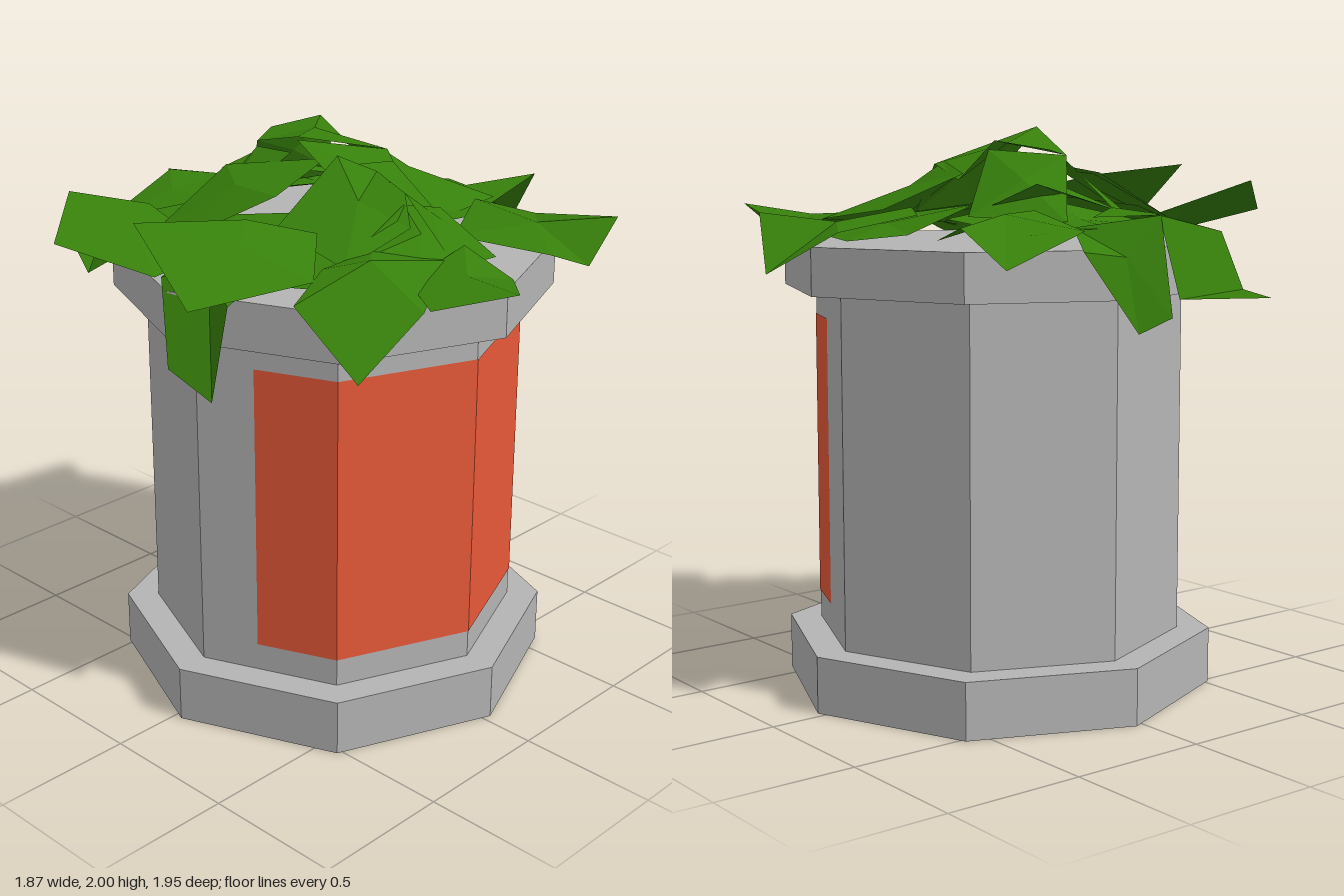
import * as THREE from 'three';

const stone = new THREE.MeshStandardMaterial({ color: 0xb4b4b4 });
stone.name = 'stone';
const paint = new THREE.MeshStandardMaterial({ color: 0xe65838 });
paint.name = 'redPaint';
const foliage = new THREE.MeshStandardMaterial({ color: 0x37800b, side: THREE.DoubleSide });
foliage.name = 'leafGreen';

const CENTRE = 0.03; // the planter axis in x and z

function meshFrom(positions, material, name) {
  const g = new THREE.BufferGeometry();
  g.setAttribute('position', new THREE.Float32BufferAttribute(positions, 3));
  g.computeVertexNormals();
  const mesh = new THREE.Mesh(g, material);
  mesh.name = name;
  return mesh;
}

// Octagonal drum between two heights
function drum(name, radius, y0, y1) {
  const geometry = new THREE.CylinderGeometry(radius, radius, y1 - y0, 8).toNonIndexed();
  geometry.computeVertexNormals();
  const mesh = new THREE.Mesh(geometry, stone);
  mesh.position.set(CENTRE, (y0 + y1) / 2, CENTRE);
  mesh.name = name;
  return mesh;
}

// Thin painted band wrapped round the front facets
function frontPanel() {
  const path = [[-0.55, 0.225], [-0.437, 0.497], [0.03, 0.69], [0.497, 0.497], [0.582, 0.288]]
    .map(([x, z]) => [CENTRE + (x - CENTRE) * 1.004, CENTRE + (z - CENTRE) * 1.004]);
  const y0 = 0.3, y1 = 1.33, p = [];
  for (let i = 0; i < path.length - 1; i++) {
    const [ax, az] = path[i], [bx, bz] = path[i + 1];
    p.push(ax, y0, az, bx, y0, bz, bx, y1, bz, ax, y0, az, bx, y1, bz, ax, y1, az);
  }
  return meshFrom(p, paint, 'frontPanel');
}

// Folded leaf: facets fanned from a raised centre to the outline
function leaf(name, lift, ...outline) {
  const c = [0, 1, 2].map(k => outline.reduce((s, q) => s + q[k], 0) / outline.length);
  c[1] += lift;
  const p = [];
  outline.forEach((q, i) => p.push(...c, ...q, ...outline[(i + 1) % outline.length]));
  return meshFrom(p, foliage, name);
}

export function createModel() {
  const model = new THREE.Group();
  model.name = 'planter';

  // Planter
  model.add(
    drum('base', 0.775, 0, 0.2),
    drum('body', 0.66, 0.2, 1.435),
    drum('rim', 0.775, 1.435, 1.6),
    frontPanel()
  );

  const plant = new THREE.Group();
  plant.name = 'plant';
  model.add(plant);

  // Outer leaves, spilling over the rim
  plant.add(
    leaf('backLeafTop', 0.02, [-0.03, 1.71, -0.76], [0.1, 1.7, -0.58], [-0.19, 1.72, -0.34],
      [-0.38, 1.66, -0.54], [-0.45, 1.64, -0.62]),
    leaf('backLeafDrop', 0, [-0.45, 1.64, -0.62], [-0.03, 1.71, -0.76], [-0.05, 1.44, -0.84], [-0.51, 1.44, -0.67]),
    leaf('backLeafTip', 0, [-0.51, 1.44, -0.67], [-0.05, 1.44, -0.84], [-0.33, 1.44, -0.98]),
    leaf('backHangingLeaf', 0.04, [-0.03, 1.71, -0.77], [0.2, 1.67, -0.6], [0.28, 1.6, -0.75],
      [0.08, 1.33, -0.79], [-0.03, 1.38, -0.83]),
    leaf('backRightLeaf', 0.07, [0.2, 1.66, -0.66], [0.55, 1.55, -0.7], [0.63, 1.68, -0.57],
      [0.48, 1.62, -0.23], [0.2, 1.72, -0.4]),
    leaf('backLeftLeaf', 0.04, [-0.69, 1.81, -0.52], [-0.4, 1.72, -0.45], [-0.42, 1.66, -0.2],
      [-0.53, 1.62, -0.1], [-0.7, 1.61, -0.08], [-0.88, 1.7, -0.37]),
    leaf('leftRaisedLeaf', 0.03, [-0.88, 1.86, 0.04], [-0.52, 1.82, 0.17], [-0.33, 1.76, 0.3],
      [-0.52, 1.68, 0.47], [-0.94, 1.66, 0.35]),
    leaf('leftHangingLeaf', 0.14, [-0.5, 1.66, -0.1], [-0.74, 1.64, 0], [-0.81, 1.37, 0.1],
      [-0.76, 1.28, 0.25], [-0.73, 1.61, 0.3], [-0.4, 1.7, 0.25]),
    leaf('frontLeftLeaf', 0.12, [-0.64, 1.64, 0.5], [-0.56, 1.41, 0.7], [-0.28, 1.58, 0.72],
      [-0.02, 1.66, 0.58], [-0.2, 1.7, 0.42], [-0.45, 1.7, 0.44]),
    leaf('frontLeaf', 0.02, [-0.12, 1.66, 0.97], [-0.32, 1.61, 0.78], [-0.2, 1.63, 0.58],
      [0.1, 1.68, 0.56], [0.1, 1.61, 0.77]),
    leaf('frontRightLeaf', 0.03, [0.43, 1.59, 0.83], [0.61, 1.72, 0.81], [0.66, 1.64, 0.42],
      [0.49, 1.7, 0.28], [0.2, 1.66, 0.43], [0.36, 1.62, 0.72]),
    leaf('rightLeaf', 0.02, [0.45, 1.7, -0.08], [0.76, 1.65, -0.07], [0.93, 1.51, 0.11],
      [0.87, 1.71, 0.25], [0.6, 1.66, 0.27], [0.35, 1.72, 0.1])
  );

  // Inner leaves, stacked into the crown
  plant.add(
    leaf('crownLeaf', 0.03, [-0.16, 2, 0.04], [-0.02, 1.9, -0.3], [0.1, 1.92, -0.35],
      [0.26, 1.95, -0.26], [0.38, 1.82, -0.22], [0.3, 1.87, 0.03]),
    leaf('crownRightLeaf', 0.03, [0.36, 1.84, -0.22], [0.57, 1.72, -0.05], [0.61, 1.68, 0.27],
      [0.3, 1.66, 0.27], [0.18, 1.82, 0.08], [0.28, 1.88, 0]),
    leaf('crownLeftLeaf', 0.04, [-0.48, 1.68, -0.31], [-0.16, 1.84, -0.31], [-0.02, 1.9, 0.04],
      [-0.32, 1.84, 0.1], [-0.5, 1.7, -0.12]),
    leaf('crownFrontLeaf', 0.02, [-0.34, 1.74, 0.12], [-0.05, 1.93, 0.12], [0.06, 1.87, 0.2],
      [-0.02, 1.85, 0.4], [-0.08, 1.76, 0.48], [-0.36, 1.68, 0.45]),
    leaf('crownFrontRightLeaf', 0.02, [0.02, 1.88, 0.1], [0.25, 1.85, 0.1], [0.3, 1.68, 0.28],
      [0.17, 1.64, 0.58], [-0.08, 1.67, 0.45]),
    leaf('crownBackLeaf', 0.02, [0.05, 1.74, -0.56], [0.27, 1.81, -0.5], [0.33, 1.72, -0.28],
      [0, 1.8, -0.28], [-0.25, 1.7, -0.34])
  );

  // Steep leaves that close the sides of the crown
  plant.add(
    leaf('frontDropLeaf', 0.02, [-0.16, 1.99, 0.04], [0.3, 1.87, 0.03], [0.26, 1.7, 0.2], [0, 1.72, 0.22]),
    leaf('lowFrontLeaf', 0.03, [-0.05, 1.82, 0.42], [0.22, 1.74, 0.35], [0.22, 1.62, 0.6],
      [-0.15, 1.64, 0.6], [-0.36, 1.67, 0.42]),
    leaf('sideDropLeaf', 0.02, [0.05, 1.87, 0.2], [-0.02, 1.85, 0.4], [0.02, 1.64, 0.58],
      [0.25, 1.64, 0.48], [0.3, 1.68, 0.28]),
    leaf('backDropLeaf', 0.02, [-0.02, 1.9, -0.3], [0.3, 1.92, -0.28], [0.4, 1.7, -0.3], [0.1, 1.68, -0.45]),
    leaf('leftDropLeaf', 0.02, [-0.05, 1.9, -0.1], [-0.02, 1.88, -0.3], [-0.2, 1.7, -0.36], [-0.4, 1.68, -0.2])
  );

  // Low leaves covering the top of the planter
  plant.add(
    leaf('lowLeftLeaf', 0.01, [-0.68, 1.62, 0], [-0.58, 1.64, -0.3], [-0.4, 1.72, -0.24], [-0.2, 1.76, 0.1],
      [-0.3, 1.69, 0.45], [-0.5, 1.65, 0.47]),
    leaf('lowRightLeaf', 0.01, [0.35, 1.74, -0.27], [0.56, 1.64, -0.18], [0.72, 1.62, -0.06],
      [0.62, 1.63, 0.28], [0.3, 1.68, 0.35]),
    leaf('lowBackLeaf', 0.01, [0.1, 1.67, -0.66], [0.4, 1.65, -0.62], [0.42, 1.69, -0.2],
      [0, 1.75, -0.2], [-0.44, 1.66, -0.25], [-0.42, 1.64, -0.52])
  );

  return model;
}
